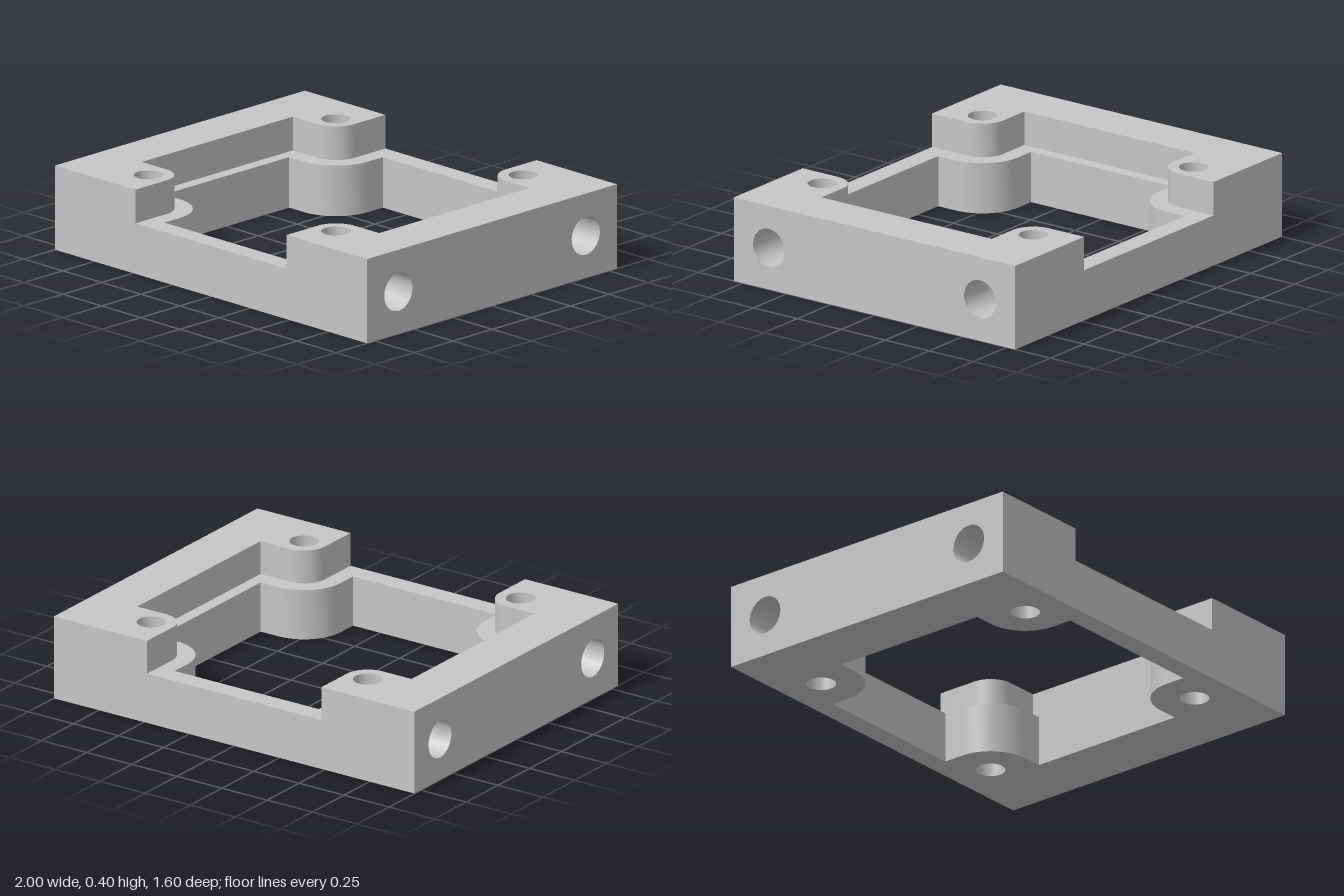
import * as THREE from 'three';
import { toCreasedNormals } from 'three/addons/utils/BufferGeometryUtils.js';

const HEIGHT = 0.4, LEDGE = 0.24;   // full height and height of the inner ledge
const HX = 1, HZ = 0.8;             // half width and half depth
const BOSS = 0.6;                   // corner screw position along x and z
const SCREW_R = 0.067, SIDE_R = 0.09, SIDE_DEPTH = 0.25;
const CURVE = 48;

// Inner edge of the +x half: round a boss, along the side wall, round the other boss
function halfEdge(wall, r, end) {
  const pts = [new THREE.Vector2(BOSS - r, end)];
  const arc = (cy, from) => {
    for (let i = 0; i <= 16; i++) {
      const a = from + (i / 16) * Math.PI / 2;
      pts.push(new THREE.Vector2(BOSS + r * Math.cos(a), cy + r * Math.sin(a)));
    }
  };
  arc(BOSS, Math.PI);
  pts.push(new THREE.Vector2(wall, BOSS - r), new THREE.Vector2(wall, r - BOSS));
  arc(-BOSS, Math.PI / 2);
  pts.push(new THREE.Vector2(BOSS - r, -end));
  return pts;
}

// Close a half edge with its copy turned by 180 degrees
const fullLoop = (half) => [...half, ...half.map((p) => p.clone().negate())];

function circleHole(x, y, r) {
  return new THREE.Path().absarc(x, y, r, 0, Math.PI * 2, true);
}

// Extrude a plan upward, leaving out the faces replaced by the ledge and side plates
function extrudeUp(shape, y0, y1) {
  const geo = new THREE.ExtrudeGeometry(shape, { depth: y1 - y0, bevelEnabled: false, curveSegments: CURVE });
  geo.rotateX(-Math.PI / 2).translate(0, y0, 0);
  const p = geo.attributes.position, kept = [];
  for (let i = 0; i < p.count; i += 3) {
    const tri = [i, i + 1, i + 2];
    const onLedge = tri.every((k) => Math.abs(p.getY(k) - LEDGE) < 1e-4);
    const onSide = [-HX, HX].some((x) => tri.every((k) => Math.abs(p.getX(k) - x) < 1e-4));
    if (onLedge || onSide) continue;
    for (const k of tri) kept.push(p.getX(k), p.getY(k), p.getZ(k));
  }
  const out = new THREE.BufferGeometry();
  out.setAttribute('position', new THREE.Float32BufferAttribute(kept, 3));
  return toCreasedNormals(out, 0.5);
}

export function createModel() {
  const model = new THREE.Group();
  model.name = 'mountingFrame';
  const grey = new THREE.MeshStandardMaterial({ color: 0xc6c6c6 });
  grey.name = 'plain grey';
  const add = (parent, name, geo) => {
    const mesh = new THREE.Mesh(geo, grey);
    mesh.name = name;
    parent.add(mesh);
  };

  const opening = fullLoop(halfEdge(0.7, 0.2, 0.7));
  const pocketHalf = halfEdge(0.76, 0.116, HZ);

  // Lower ring with central opening and four screw holes
  const base = new THREE.Shape([
    new THREE.Vector2(-HX, -HZ), new THREE.Vector2(HX, -HZ),
    new THREE.Vector2(HX, HZ), new THREE.Vector2(-HX, HZ),
  ]);
  base.holes.push(new THREE.Path(opening));
  for (const x of [-BOSS, BOSS]) for (const z of [-BOSS, BOSS]) base.holes.push(circleHole(x, z, SCREW_R));
  add(model, 'lowerRing', extrudeUp(base, 0, LEDGE));

  // Flat ledge around the opening
  const ledge = new THREE.Shape(fullLoop(pocketHalf));
  ledge.holes.push(new THREE.Path(opening));
  add(model, 'ledge', new THREE.ShapeGeometry(ledge).rotateX(-Math.PI / 2).translate(0, LEDGE, 0));

  // Raised side rail with its two bosses
  const rail = new THREE.Shape([...pocketHalf, new THREE.Vector2(HX, -HZ), new THREE.Vector2(HX, HZ)]);
  for (const z of [-BOSS, BOSS]) rail.holes.push(circleHole(BOSS, z, SCREW_R));
  const railGeo = extrudeUp(rail, LEDGE, HEIGHT);

  // Outer side face with two round openings
  const face = new THREE.Shape([
    new THREE.Vector2(-HZ, 0), new THREE.Vector2(HZ, 0),
    new THREE.Vector2(HZ, HEIGHT), new THREE.Vector2(-HZ, HEIGHT),
  ]);
  for (const z of [-BOSS, BOSS]) face.holes.push(circleHole(z, HEIGHT / 2, SIDE_R));
  const faceGeo = new THREE.ShapeGeometry(face, CURVE).rotateY(Math.PI / 2).translate(HX, 0, 0);

  // Blind side hole: inward facing wall and floor
  const wallGeo = new THREE.LatheGeometry(
    [new THREE.Vector2(SIDE_R, 0), new THREE.Vector2(SIDE_R, -SIDE_DEPTH)], CURVE).rotateZ(-Math.PI / 2);
  const floorGeo = new THREE.CircleGeometry(SIDE_R, CURVE).rotateY(Math.PI / 2).translate(-SIDE_DEPTH, 0, 0);

  for (const [name, turn] of [['leftSide', 0], ['rightSide', Math.PI]]) {
    const side = new THREE.Group();
    side.name = name;
    side.rotation.y = turn;
    add(side, 'raisedRail', railGeo);
    add(side, 'sideFace', faceGeo);
    for (const z of [-BOSS, BOSS]) {
      const hole = new THREE.Group();
      hole.name = 'sideHole';
      hole.position.set(HX, HEIGHT / 2, z);
      add(hole, 'holeWall', wallGeo);
      add(hole, 'holeFloor', floorGeo);
      side.add(hole);
    }
    model.add(side);
  }
  return model;
}
